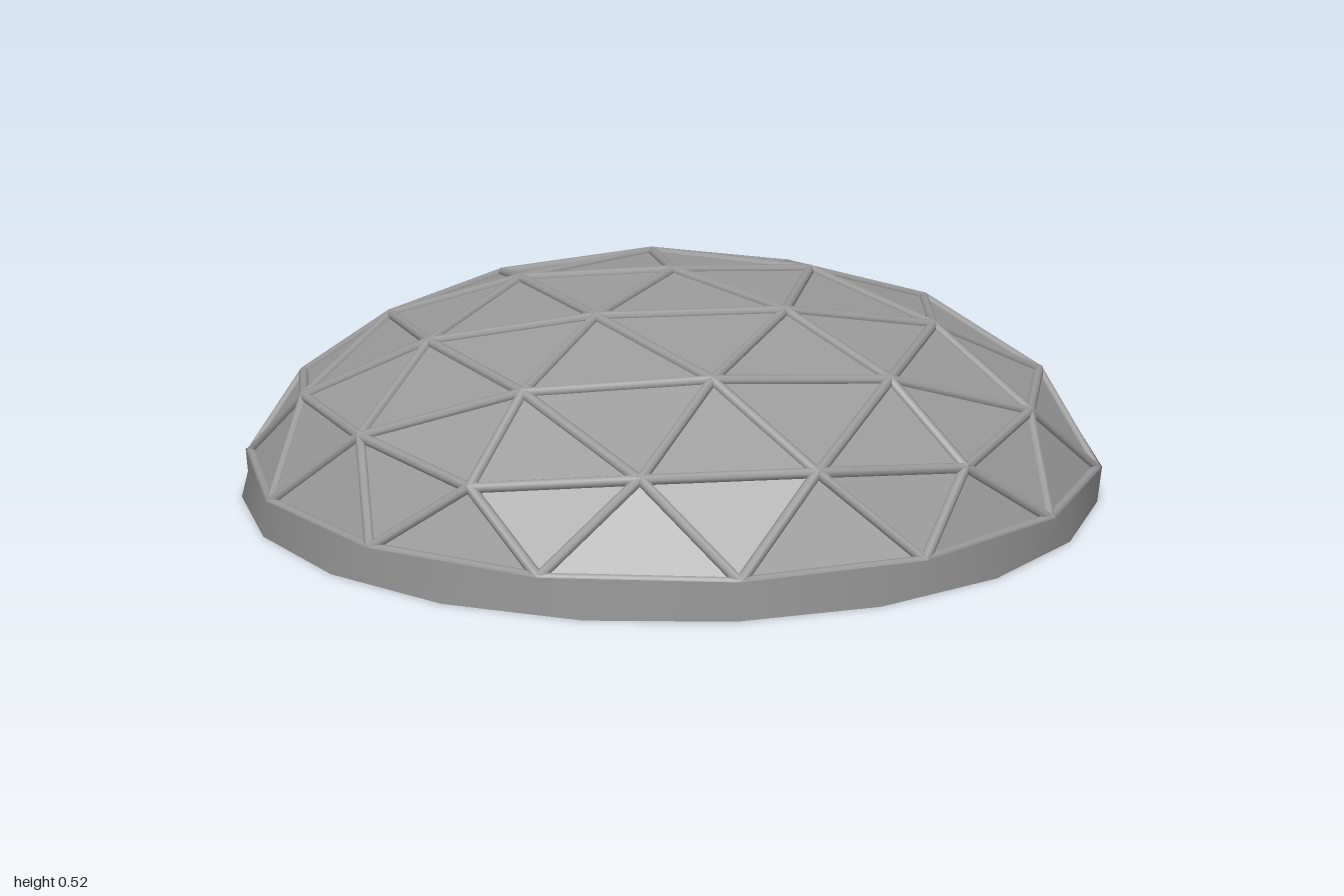
import * as THREE from 'three';

const CX = 0.01; // the odd-sided base puts the apex slightly off centre
const STRUT_RADIUS = 0.012;
const GREY = 0x9a9a9a;
const D2R = Math.PI / 180;

// One fifth of each ring: [radius, azimuth in degrees, height]
const RINGS = [
  [[0, 0, 0.52]],
  [[0.364, 0, 0.486]],
  [[0.682, 0, 0.386], [0.61, 36, 0.415]],
  [[0.904, 0, 0.232], [0.868, 23.6, 0.27], [0.868, 48.4, 0.27]],
  [[0.997, 12, 0.087], [0.997, 36, 0.087], [0.997, 60, 0.087]],
];

function ringPoint(ring, index) {
  const row = RINGS[ring], n = row.length;
  const [r, az, y] = row[index % n];
  const a = (az + 72 * Math.floor(index / n)) * D2R;
  return new THREE.Vector3(CX + r * Math.cos(a), y, r * Math.sin(a));
}

// Distance to the edge of a regular polygon with its first corner at azimuth start
function polygonRadius(radius, sides, start, az) {
  const step = 360 / sides;
  const offset = (az - start + 360) % step - step / 2;
  return radius * Math.cos(step / 2 * D2R) / Math.cos(offset * D2R);
}

export function createModel() {
  const model = new THREE.Group();
  model.name = 'geodesicDome';
  const flat = new THREE.MeshStandardMaterial({ color: GREY, flatShading: true, side: THREE.DoubleSide });
  const smooth = new THREE.MeshStandardMaterial({ color: GREY, side: THREE.DoubleSide });

  // Triangles as [ring, index] corners, from the apex down
  const tris = [];
  for (let s = 0; s < 5; s++) {
    for (let n = 0; n < 3; n++) {
      const inner = (i) => [n, n === 0 ? 0 : (s * n + i) % (5 * n)];
      const outer = (i) => [n + 1, (s * (n + 1) + i) % (5 * (n + 1))];
      for (let i = 0; i <= n; i++) {
        tris.push([inner(i), outer(i + 1), outer(i)]);
        if (i < n) tris.push([inner(i), inner(i + 1), outer(i + 1)]);
      }
    }
  }
  for (let i = 0; i < 15; i++) {
    const j = (i + 1) % 15;
    tris.push([[3, i], [3, j], [4, i]], [[3, j], [4, j], [4, i]]);
  }

  // Flat panels, set back to the middle of the struts
  const panelPos = [];
  const edges = new Map();
  for (const t of tris) {
    const p = t.map(([r, i]) => ringPoint(r, i));
    const normal = new THREE.Triangle(...p).getNormal(new THREE.Vector3());
    for (const v of p) panelPos.push(...v.clone().addScaledVector(normal, -STRUT_RADIUS).toArray());
    for (let k = 0; k < 3; k++) {
      const key = [t[k].join('_'), t[(k + 1) % 3].join('_')].sort().join('|');
      if (!edges.has(key)) edges.set(key, { a: p[k], b: p[(k + 1) % 3], normal: new THREE.Vector3() });
      edges.get(key).normal.add(normal);
    }
  }
  const panelGeo = new THREE.BufferGeometry();
  panelGeo.setAttribute('position', new THREE.Float32BufferAttribute(panelPos, 3));
  panelGeo.computeVertexNormals();
  const panels = new THREE.Mesh(panelGeo, flat);
  panels.name = 'panels';
  model.add(panels);

  // One round strut along every edge, its outer side level with the corners
  const struts = new THREE.Group();
  struts.name = 'struts';
  const up = new THREE.Vector3(0, 1, 0);
  for (const { a, b, normal } of edges.values()) {
    const along = b.clone().sub(a);
    const geo = new THREE.CylinderGeometry(STRUT_RADIUS, STRUT_RADIUS, along.length(), 8);
    const strut = new THREE.Mesh(geo, smooth);
    strut.name = 'strut';
    strut.quaternion.setFromUnitVectors(up, along.normalize());
    strut.position.copy(a).add(b).multiplyScalar(0.5).addScaledVector(normal.normalize(), -STRUT_RADIUS);
    struts.add(strut);
  }
  model.add(struts);

  // Base band: twenty-sided at the floor, fifteen-sided where it meets the dome
  const bandGeo = new THREE.CylinderGeometry(1, 1, 0.086, 60, 1, true);
  bandGeo.translate(0, 0.043, 0);
  const pos = bandGeo.attributes.position;
  for (let i = 0; i < pos.count; i++) {
    const top = pos.getY(i) > 0.04;
    const az = Math.atan2(pos.getZ(i), pos.getX(i)) / D2R + 360;
    const r = top ? polygonRadius(1, 15, 12, az) : polygonRadius(1, 20, 0, az);
    pos.setX(i, (top ? CX : 0) + r * Math.cos(az * D2R));
    pos.setZ(i, r * Math.sin(az * D2R));
  }
  const band = new THREE.Mesh(bandGeo, smooth);
  band.name = 'baseBand';
  model.add(band);

  return model;
}
